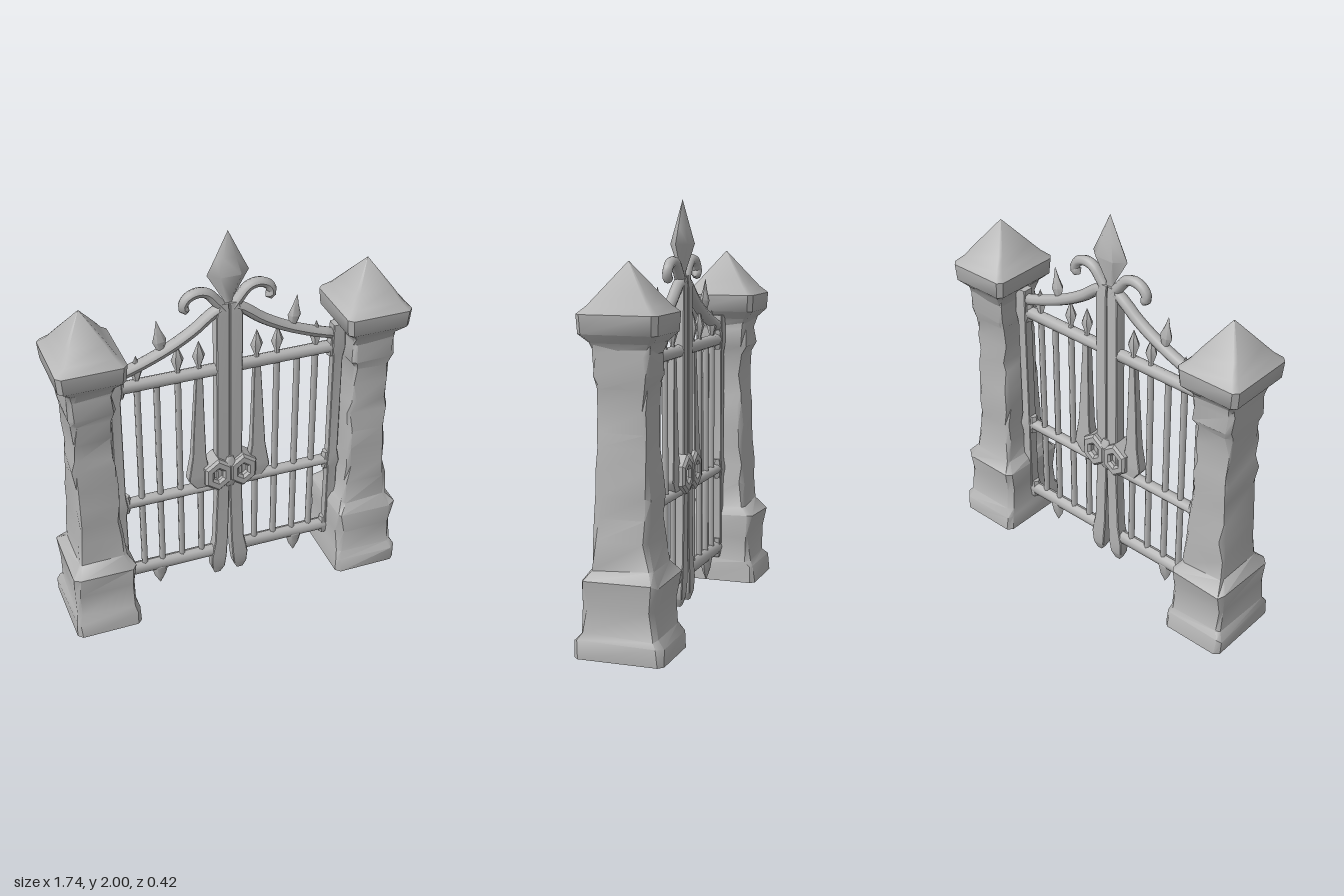
import * as THREE from 'three';
import { toCreasedNormals, mergeVertices } from 'three/addons/utils/BufferGeometryUtils.js';

const stone = new THREE.MeshStandardMaterial({ color: 0xb4b4b4 });
stone.name = 'plain grey';

let seed = 7;
const rand = () => {
  seed = (seed * 16807) % 2147483647;
  return seed / 2147483647 - 0.5;
};

function add(parent, name, geometry, x = 0, y = 0, z = 0) {
  const mesh = new THREE.Mesh(geometry, stone);
  mesh.name = name;
  mesh.position.set(x, y, z);
  parent.add(mesh);
  return mesh;
}

// Stack of chamfered rectangles: rows are [y, halfX, halfZ, centreX]
function loft(rows, rough = 0) {
  const pos = [], index = [], n = 8;
  for (const [y, hx, hz, cx = 0] of rows) {
    const c = Math.min(hx, hz) * 0.14;
    const ring = [[hx, -hz + c], [hx, hz - c], [hx - c, hz], [-hx + c, hz],
      [-hx, hz - c], [-hx, -hz + c], [-hx + c, -hz], [hx - c, -hz]];
    const k = y > 0.01 && y < 1.4 ? rough : 0;
    for (const [x, z] of ring) pos.push(cx + x + rand() * k, y + rand() * k, z + rand() * k);
  }
  for (let i = 0; i < rows.length - 1; i++) {
    for (let j = 0; j < n; j++) {
      const a = i * n + j, b = i * n + (j + 1) % n;
      index.push(a, a + n, b, b, a + n, b + n);
    }
  }
  const top = (rows.length - 1) * n;
  for (let j = 1; j < n - 1; j++) index.push(0, j, j + 1, top, top + j + 1, top + j);
  const g = new THREE.BufferGeometry();
  g.setAttribute('position', new THREE.Float32BufferAttribute(pos, 3));
  g.setIndex(index);
  return toCreasedNormals(g, 0.75);
}

// Faceted turned shape: profile is [radius, y] from the bottom up
function turned(profile, sides = 6, depth = 1) {
  const g = new THREE.LatheGeometry(profile.map(([r, y]) => new THREE.Vector2(r, y)), sides);
  g.rotateY(Math.PI / 2).scale(1, 1, depth);
  g.deleteAttribute('normal');
  g.deleteAttribute('uv');
  return toCreasedNormals(mergeVertices(g), 0.9);
}

// Tube along points [x, y], tapering to the given end scale, with closed ends
function bentBar(points, radius, endScale = 1, segments = 14) {
  const curve = new THREE.CatmullRomCurve3(points.map(([x, y]) => new THREE.Vector3(x, y, 0)));
  const sides = 8;
  const g = new THREE.TubeGeometry(curve, segments, radius, sides);
  const p = g.attributes.position, v = new THREE.Vector3();
  for (let i = 0; i <= segments; i++) {
    const t = i / segments, c = curve.getPointAt(t);
    const s = i === segments ? 0.02 : 1 + (endScale - 1) * t;
    for (let j = 0; j <= sides; j++) {
      const k = i * (sides + 1) + j;
      v.fromBufferAttribute(p, k).sub(c).multiplyScalar(s).add(c);
      p.setXYZ(k, v.x, v.y, v.z);
    }
  }
  g.computeVertexNormals();
  return g;
}

function makePillar(side) {
  const pillar = new THREE.Group();
  pillar.name = side > 0 ? 'leftPillar' : 'rightPillar';
  pillar.position.x = 0.7 * side;
  // Rough stone base and shaft
  add(pillar, 'pillarShaft', loft([
    [0, 0.167, 0.21], [0.08, 0.165, 0.205], [0.115, 0.15, 0.182], [0.24, 0.15, 0.17],
    [0.35, 0.158, 0.186], [0.4, 0.118, 0.14], [0.52, 0.115, 0.13], [0.62, 0.102, 0.13],
    [0.72, 0.11, 0.122], [0.83, 0.098, 0.12], [0.94, 0.104, 0.113], [1.0, 0.09, 0.115],
    [1.1, 0.1, 0.113], [1.2, 0.092, 0.116], [1.25, 0.106, 0.134], [1.34, 0.106, 0.128],
    [1.39, 0.112, 0.14],
  ], 0.018));
  // Flared capital with a pyramid top
  add(pillar, 'pillarCap', loft([
    [1.34, 0.1, 0.125], [1.39, 0.115, 0.145], [1.43, 0.158, 0.183], [1.515, 0.166, 0.188],
    [1.55, 0.13, 0.15], [1.605, 0.095, 0.105], [1.735, 0.002, 0.002],
  ]));
  return pillar;
}

function makeGate(side) {
  const gate = new THREE.Group();
  gate.name = side > 0 ? 'leftGate' : 'rightGate';
  const s = (x) => x * side;
  const path = (pts) => pts.map(([x, y]) => [s(x), y]);

  // Upright posts
  add(gate, 'hingePost', loft([[0.2, 0.027, 0.027], [0.55, 0.025, 0.025], [0.6, 0.034, 0.032],
    [0.66, 0.025, 0.025], [1.22, 0.025, 0.025], [1.28, 0.034, 0.032], [1.41, 0.03, 0.028]]), s(0.562));
  add(gate, 'meetingPost', loft([
    [0.03, 0.016, 0.015, s(0.062)], [0.07, 0.034, 0.027, s(0.06)], [0.14, 0.041, 0.032, s(0.058)],
    [0.25, 0.034, 0.03, s(0.044)], [0.55, 0.032, 0.03, s(0.034)], [1.58, 0.032, 0.03, s(0.033)],
    [1.64, 0.022, 0.024, s(0.024)]]));

  // Horizontal rails
  for (const [y, r] of [[0.18, 0.035], [0.605, 0.026], [1.285, 0.032]]) {
    const rail = new THREE.CylinderGeometry(r, r, 0.5, 8);
    rail.rotateZ(Math.PI / 2).scale(1, 1, 0.03 / r);
    add(gate, 'rail', toCreasedNormals(rail, 0.9), s(0.31), y);
    const collar = turned([[0, -0.05], [0.022, -0.05], [0.032, 0], [0.022, 0.05], [0, 0.05]], 6);
    add(gate, 'railCollar', collar, s(0.535), y);
  }

  // Thin bars between the rails
  for (const x of [0.145, 0.25, 0.355, 0.45]) {
    add(gate, 'bar', new THREE.CylinderGeometry(0.016, 0.016, 1.12, 6), s(x), 0.73);
  }
  add(gate, 'flaredBar', loft([
    [0.6, 0.03, 0.022, s(0.13)], [0.67, 0.054, 0.028, s(0.158)], [0.69, 0.054, 0.028, s(0.156)],
    [0.81, 0.035, 0.024, s(0.155)], [1.0, 0.027, 0.02, s(0.152)], [1.28, 0.016, 0.016, s(0.146)]]));

  // Spear points above the top rail, on the arch and below the bottom rail
  const spear = [[0.018, 0], [0.012, 0.02], [0.032, 0.075], [0.016, 0.115], [0, 0.155]];
  for (const x of [0.145, 0.25]) add(gate, 'spearPoint', turned(spear, 6, 0.8), s(x), 1.305);
  add(gate, 'spearPoint', turned(spear, 6, 0.8), s(0.45), 1.29);
  const tilted = add(gate, 'archSpike', turned([[0.012, -0.04], [0.034, 0.03], [0.016, 0.08], [0, 0.14]], 6, 0.7),
    s(0.33), 1.47);
  tilted.rotation.z = -0.12 * side;
  add(gate, 'lowerSpike', turned([[0, -0.115], [0.03, -0.06], [0.046, 0], [0.04, 0.02], [0, 0.04]], 6, 0.65),
    s(0.37), 0.16);

  // Sweeping arch and scroll
  add(gate, 'arch', bentBar(path([[0.04, 1.61], [0.085, 1.585], [0.16, 1.525], [0.28, 1.455],
    [0.42, 1.395], [0.57, 1.345]]), 0.029));
  add(gate, 'scroll', bentBar(path([[0.015, 1.6], [0.055, 1.65], [0.1, 1.7], [0.15, 1.712],
    [0.2, 1.69], [0.217, 1.648], [0.185, 1.627]]), 0.028, 0.85, 18));

  // Six-sided latch ring with a sunken dish
  const hex = (r) => Array.from({ length: 6 }, (_, i) => {
    const a = (i + 0.5) * Math.PI / 3;
    return new THREE.Vector2(Math.cos(a) * r * 0.8, Math.sin(a) * r);
  });
  const shape = new THREE.Shape(hex(0.082));
  shape.holes.push(new THREE.Path(hex(0.05)));
  const ring = new THREE.ExtrudeGeometry(shape,
    { depth: 0.09, bevelEnabled: true, bevelSize: 0.012, bevelThickness: 0.012, bevelSegments: 1 });
  add(gate, 'latchRing', ring, s(0.065), 0.69, -0.045);
  add(gate, 'latchDish', new THREE.ExtrudeGeometry(new THREE.Shape(hex(0.058)),
    { depth: 0.05, bevelEnabled: false }), s(0.065), 0.69, -0.025);
  return gate;
}

export function createModel() {
  const model = new THREE.Group();
  model.name = 'gateway';
  for (const side of [1, -1]) {
    model.add(makePillar(side), makeGate(side));
  }
  // Tall diamond finial over the meeting posts
  add(model, 'finial', turned([[0, 1.6], [0.035, 1.62], [0.024, 1.655], [0.102, 1.79],
    [0.06, 1.875], [0, 2]], 6, 0.5));
  // Bridge between the two latch rings
  add(model, 'latchBridge', loft([[0.6, 0.018, 0.035], [0.64, 0.028, 0.052], [0.74, 0.028, 0.052],
    [0.78, 0.016, 0.035]]));
  return model;
}
